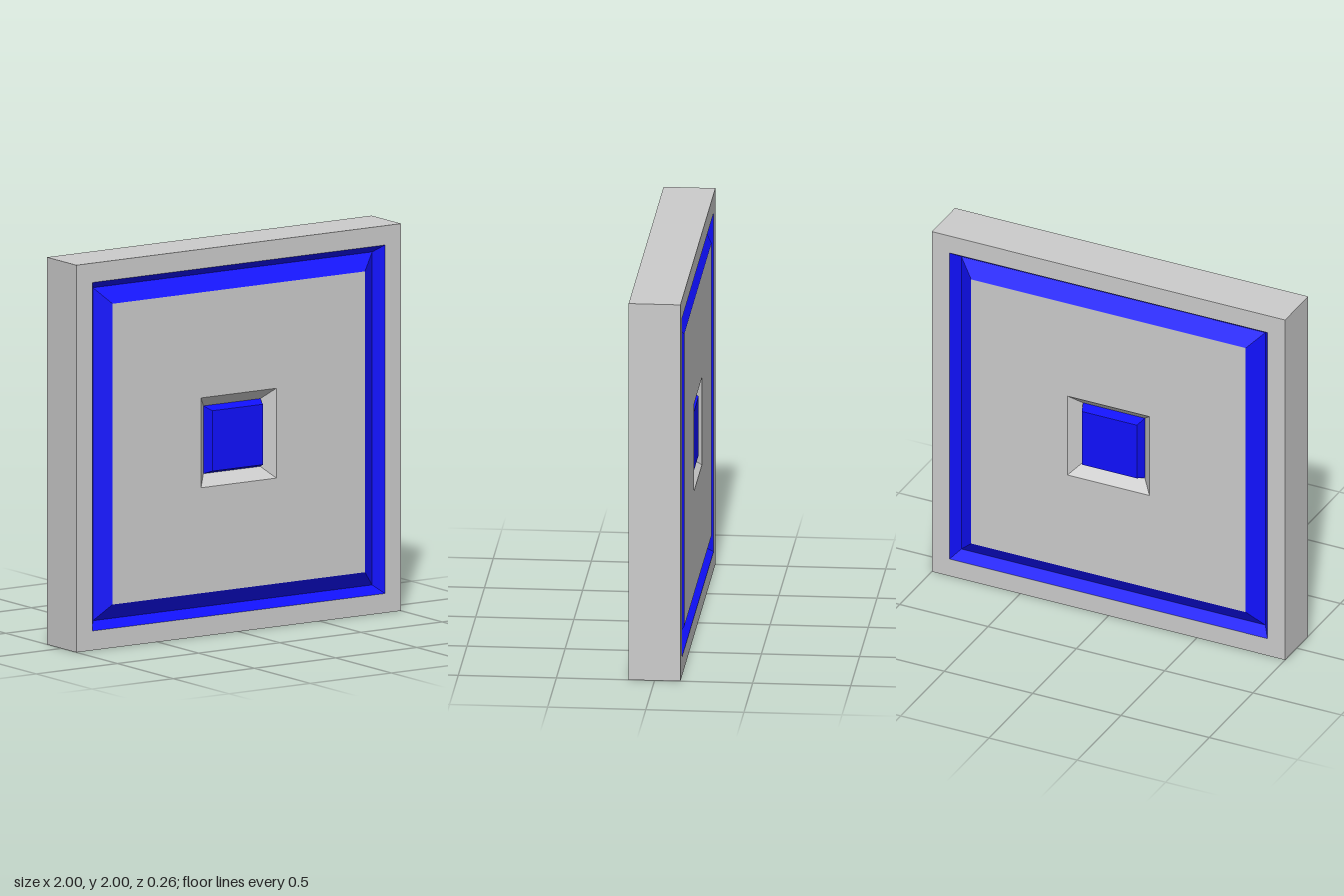
import * as THREE from 'three';

const grey = new THREE.MeshStandardMaterial({ color: 0xcccccc, flatShading: true });
const blue = new THREE.MeshStandardMaterial({ color: 0x1010ff, flatShading: true });

// Joins concentric squares, given as [half width, z] from the outside in.
// capped closes the last square with a flat face.
function squareLoft(name, profile, material, capped = false) {
  const positions = [];
  const corners = ([h, z]) => [[-h, -h, z], [h, -h, z], [h, h, z], [-h, h, z]];
  const quad = (a, b, c, d) => positions.push(...a, ...b, ...c, ...a, ...c, ...d);
  for (let k = 0; k < profile.length - 1; k++) {
    const a = corners(profile[k]);
    const b = corners(profile[k + 1]);
    for (let i = 0; i < 4; i++) {
      const j = (i + 1) % 4;
      quad(a[i], a[j], b[j], b[i]);
    }
  }
  if (capped) quad(...corners(profile[profile.length - 1]));
  const geometry = new THREE.BufferGeometry();
  geometry.setAttribute('position', new THREE.Float32BufferAttribute(positions, 3));
  geometry.computeVertexNormals();
  const mesh = new THREE.Mesh(geometry, material);
  mesh.name = name;
  return mesh;
}

export function createModel() {
  const D = 0.132; // half thickness of the slab
  const model = new THREE.Group();
  model.name = 'squarePanel';

  // outer edge of the slab
  model.add(squareLoft('outerEdge', [[1, -D], [1, D]], grey));

  // both faces carry the same relief
  for (const [name, turn] of [['frontFace', 0], ['backFace', Math.PI]]) {
    const face = new THREE.Group();
    face.name = name;
    face.rotation.y = turn;
    face.add(
      squareLoft('border', [[1, D], [0.9, D]], grey),
      // V-shaped channel with a steep outer wall
      squareLoft('groove', [[0.9, D], [0.86, 0.076], [0.777, D]], blue),
      // flat field sloping down into the central recess
      squareLoft('field', [[0.777, D], [0.232, D], [0.175, 0.07]], grey),
      // bevelled raised block in the recess
      squareLoft('centreBlock', [[0.175, 0.07], [0.156, 0.122]], blue, true)
    );
    model.add(face);
  }

  model.position.y = 1;
  const root = new THREE.Group();
  root.add(model);
  return root;
}
